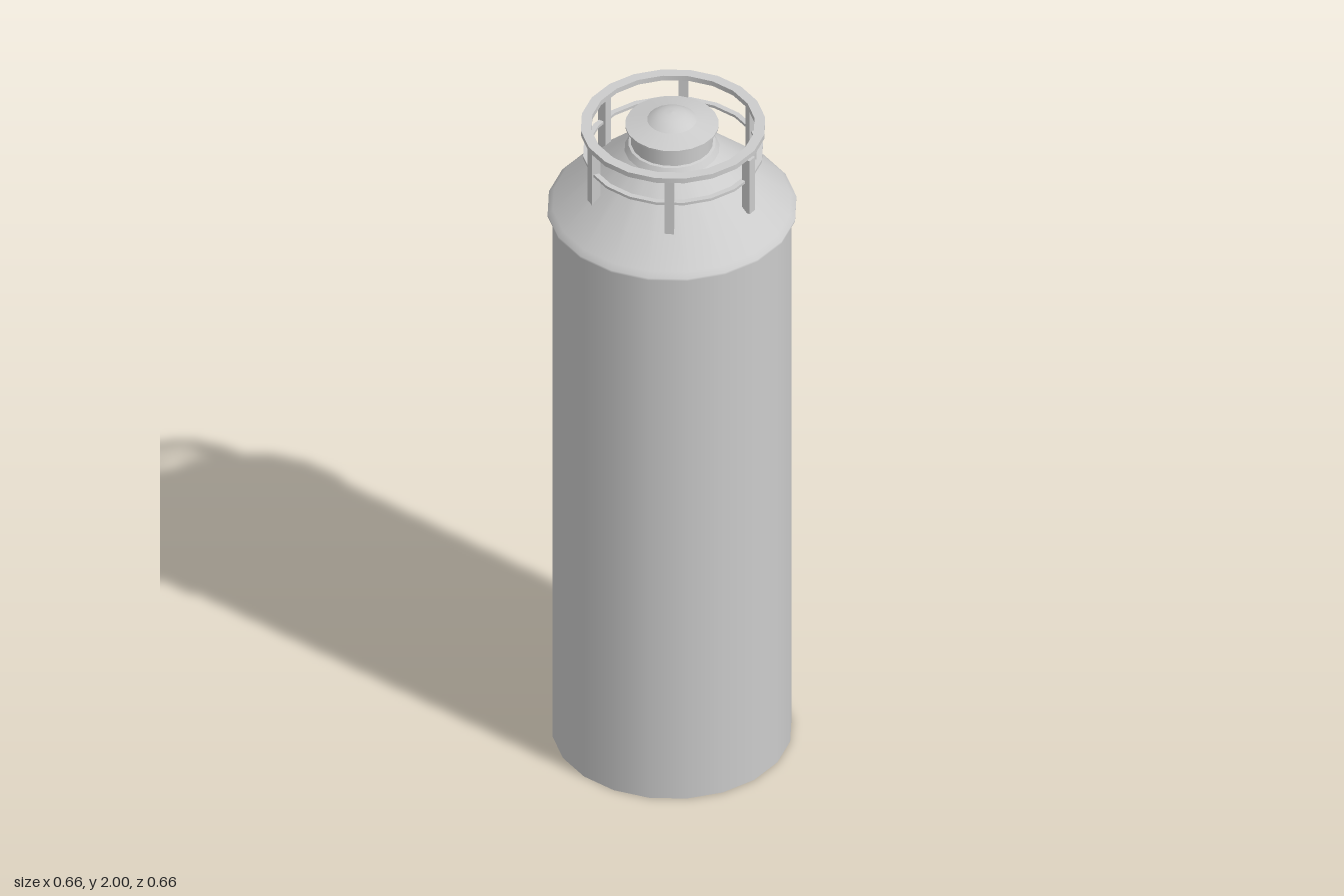
import * as THREE from 'three';

const SIDES = 20;
const material = new THREE.MeshStandardMaterial({ color: 0xcccccc, side: THREE.DoubleSide });

// Revolved part; each profile in the list is shaded smoothly, with a sharp edge between profiles
function revolve(name, profiles) {
  const part = new THREE.Group();
  part.name = name;
  for (const profile of profiles) {
    const points = profile.map(([r, y]) => new THREE.Vector2(r, y));
    const mesh = new THREE.Mesh(new THREE.LatheGeometry(points, SIDES), material);
    mesh.name = name + 'Surface';
    part.add(mesh);
  }
  return part;
}

// Flat ring with a rectangular section
function ring(name, inner, outer, y0, y1) {
  return revolve(name, [
    [[outer, y0], [outer, y1]],
    [[outer, y1], [inner, y1]],
    [[inner, y1], [inner, y0]],
    [[inner, y0], [outer, y0]],
  ]);
}

export function createModel() {
  const model = new THREE.Group();
  model.name = 'canister';

  // Open-bottomed body
  model.add(revolve('body', [[[0.315, 0], [0.315, 1.695]]]));

  // Overhanging rim and sloping shoulder
  model.add(revolve('shoulder', [
    [[0.315, 1.686], [0.328, 1.69]],
    [[0.328, 1.69], [0.328, 1.697], [0.314, 1.71], [0.125, 1.885]],
  ]));

  // Collar and neck
  model.add(revolve('neck', [
    [[0.125, 1.885], [0.115, 1.902]],
    [[0.115, 1.902], [0.108, 1.904]],
    [[0.108, 1.904], [0.108, 1.958]],
  ]));

  // Cap with a sloping brim and a domed knob
  model.add(revolve('cap', [
    [[0.108, 1.955], [0.123, 1.958]],
    [[0.123, 1.958], [0.123, 1.963]],
    [[0.123, 1.963], [0.065, 1.977]],
    [[0.065, 1.977], [0.053, 1.986], [0.037, 1.994], [0.019, 1.9985], [0, 2]],
  ]));

  // Guard: top ring, thin lower rail and six posts
  const guard = new THREE.Group();
  guard.name = 'guard';
  guard.position.x = 0.003;
  guard.add(ring('guardTopRing', 0.215, 0.243, 1.945, 1.96));
  guard.add(ring('guardLowerRail', 0.222, 0.237, 1.869, 1.877));
  for (let i = 0; i < 6; i++) {
    const angle = (i * Math.PI) / 3;
    const post = new THREE.Mesh(new THREE.BoxGeometry(0.025, 0.172, 0.025), material);
    post.name = 'guardPost';
    const shift = i % 3 ? 0.01 : 0;
    post.position.set(Math.cos(angle) * 0.228 + shift, 1.861, Math.sin(angle) * 0.232);
    post.rotation.y = -angle;
    guard.add(post);
  }
  model.add(guard);

  return model;
}
